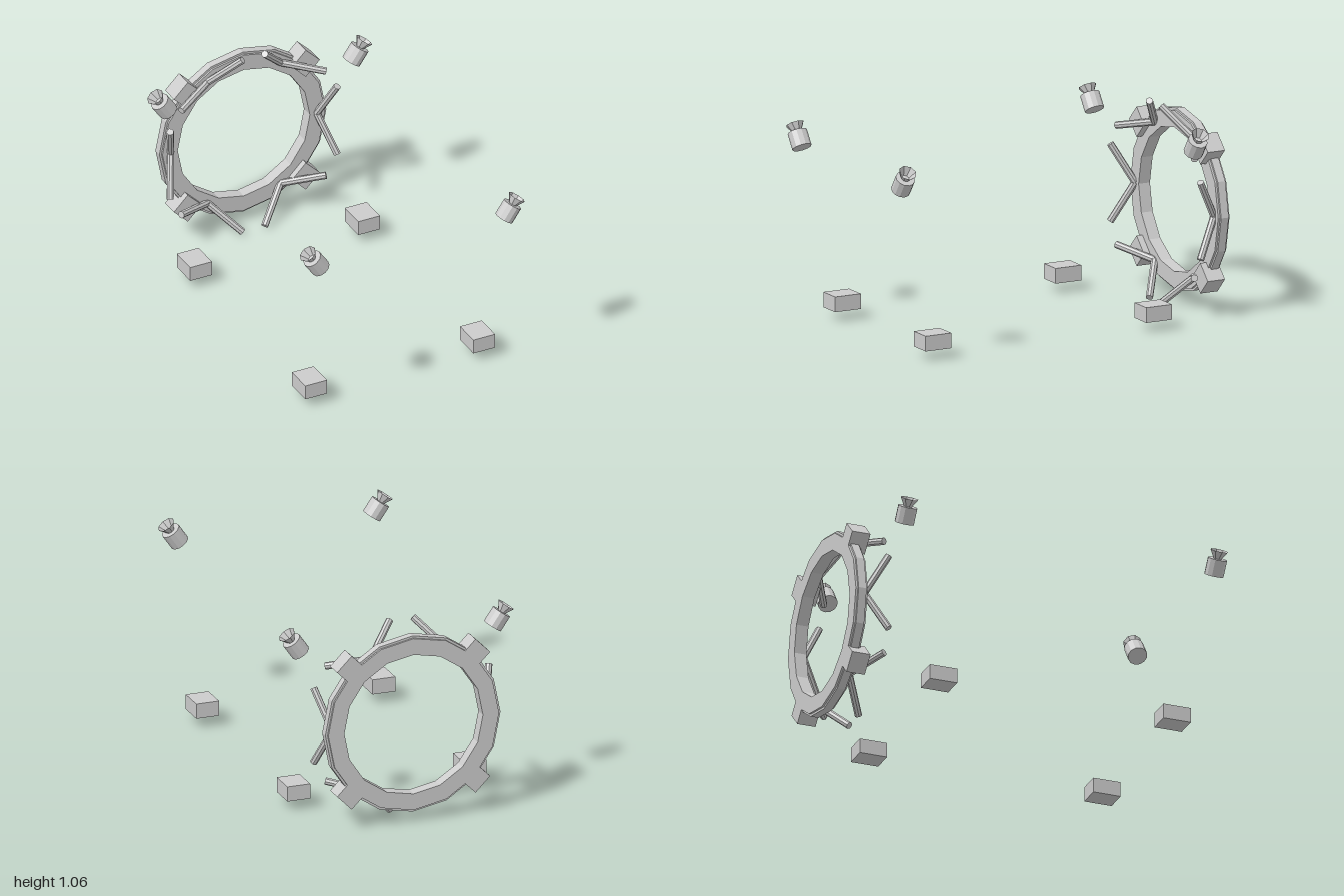
import * as THREE from 'three';

const CENTER_Y = 0.54;

export function createModel() {
  const model = new THREE.Group();
  model.name = 'stageRig';
  const grey = new THREE.MeshStandardMaterial({ color: 0xcccccc });
  grey.name = 'grey';
  grey.flatShading = true;
  grey.side = THREE.DoubleSide;

  const add = (parent, name, geometry, x = 0, y = 0, z = 0) => {
    const mesh = new THREE.Mesh(geometry, grey);
    mesh.name = name;
    mesh.position.set(x, y, z);
    parent.add(mesh);
    return mesh;
  };

  // sixteen-sided ring with a narrower raised rim around the outside
  const profile = [
    [0.38, -0.033], [0.468, -0.033], [0.468, -0.022], [0.48, -0.022],
    [0.48, 0.022], [0.468, 0.022], [0.468, 0.033], [0.38, 0.033], [0.38, -0.033],
  ].map(([r, y]) => new THREE.Vector2(r, y));
  const ring = new THREE.LatheGeometry(profile, 16).rotateX(Math.PI / 2);
  add(model, 'ring', ring, 0, CENTER_Y, -0.967);

  // four blocks clamped on the ring diagonals
  const clamp = new THREE.BoxGeometry(0.113, 0.113, 0.1);
  for (let i = 0; i < 4; i++) {
    const a = Math.PI / 4 + (i * Math.PI) / 2;
    add(model, 'ringClamp', clamp, 0.48 * Math.cos(a), CENTER_Y + 0.48 * Math.sin(a), -0.95)
      .rotation.z = a;
  }

  // six V-shaped pairs of struts leaning forward from the ring
  const apex = new THREE.Vector3(0.42, 0, -0.935);
  for (let i = 0; i < 6; i++) {
    const pair = new THREE.Group();
    pair.name = 'strutPair';
    pair.position.y = CENTER_Y;
    pair.rotation.z = (i * Math.PI) / 3;
    for (const side of [-1, 1]) {
      const tip = new THREE.Vector3(0.48, side * 0.204, -0.824);
      const along = tip.clone().sub(apex);
      const strut = add(pair, 'strut', new THREE.CylinderGeometry(0.019, 0.019, along.length(), 8));
      strut.position.copy(apex).addScaledVector(along, 0.5);
      strut.quaternion.setFromUnitVectors(new THREE.Vector3(0, 1, 0), along.normalize());
    }
    model.add(pair);
  }

  // floor blocks and tilted lamps, mirrored left and right
  const block = new THREE.BoxGeometry(0.125, 0.08, 0.15);
  const body = new THREE.CylinderGeometry(0.051, 0.051, 0.088, 12);
  const horn = new THREE.CylinderGeometry(0.048, 0.02, 0.046, 8, 1, true);
  for (const side of [-1, 1]) {
    for (const z of [0.737, -0.548]) add(model, 'floorBlock', block, side * 0.483, 0.1, z);
    for (const z of [0.947, -0.757]) {
      const lamp = new THREE.Group();
      lamp.name = 'lamp';
      lamp.position.set(side * 0.551, 0.956, z);
      lamp.rotation.z = -side * 0.61;
      add(lamp, 'lampBody', body);
      add(lamp, 'lampHorn', horn, 0, 0.064, 0);
      model.add(lamp);
    }
  }
  return model;
}
